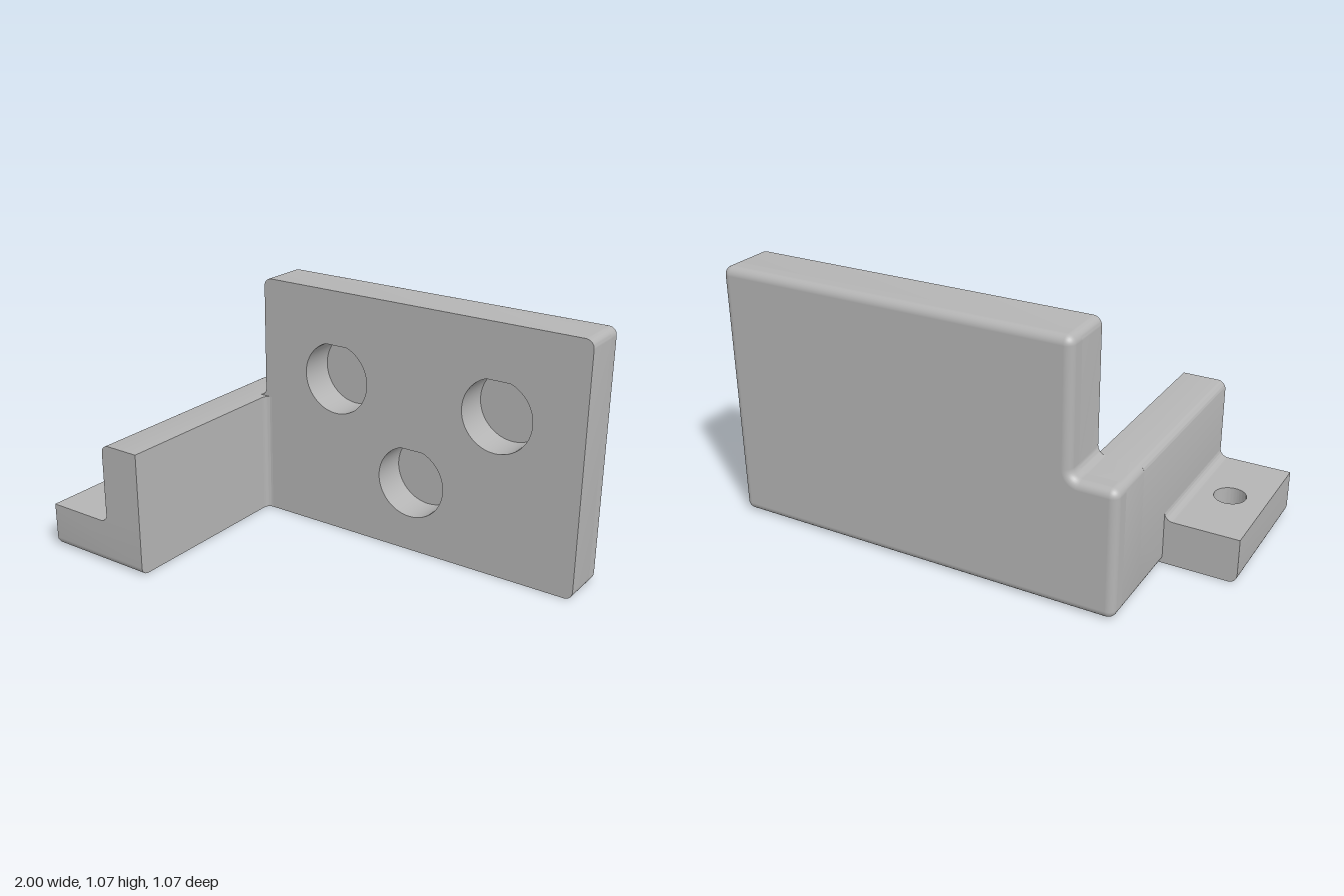
import * as THREE from 'three';
import { toCreasedNormals } from 'three/addons/utils/BufferGeometryUtils.js';

const R = 0.035;                       // edge rounding
const BACK = -0.535, FACE = -0.305, FRONT = 0.53, POCKET = 0.155;
const CORNERS = [[-0.695, 0], [1, 0], [1, 1.07], [-0.51, 1.07], [-0.51, 0.535], [-0.695, 0.535]];
const SEG = 8;

// Stepped plate outline with rounded corners, shrunk inward by d
function outline(d) {
  const n = CORNERS.length, out = [];
  CORNERS.forEach((c, i) => {
    const p = new THREE.Vector2(...c);
    const u = p.clone().sub(new THREE.Vector2(...CORNERS[(i + n - 1) % n])).normalize();
    const v = new THREE.Vector2(...CORNERS[(i + 1) % n]).sub(p).normalize();
    const s = Math.sign(u.cross(v));   // +1 convex, -1 concave
    const centre = new THREE.Vector2(-u.y - v.y, u.x + v.x).multiplyScalar(R * s).add(p);
    const start = Math.atan2(-u.x, u.y);
    for (let k = 0; k <= SEG; k++) {
      const a = start + s * (k / SEG) * Math.PI / 2;
      const m = new THREE.Vector2(Math.cos(a), Math.sin(a));
      out.push({ p: m.clone().multiplyScalar(s * (R - s * d)).add(centre), m });
    }
  });
  return out;
}

const outlineShape = d => new THREE.Shape(outline(d).map(o => o.p));

// Wall of the plate's back half, curling into its rounded rear rim
function rimGeometry() {
  const pos = [], nor = [], idx = [];
  const rings = [[FACE - POCKET, 0]];
  for (let k = 0; k <= SEG; k++) {
    const t = (k / SEG) * Math.PI / 2;
    rings.push([BACK + R - R * Math.sin(t), t]);
  }
  const n = CORNERS.length * (SEG + 1);
  rings.forEach(([z, t], k) => {
    outline(R * (1 - Math.cos(t))).forEach(({ p, m }, i) => {
      pos.push(p.x, p.y, z);
      nor.push(m.x * Math.cos(t), m.y * Math.cos(t), -Math.sin(t));
      if (k === rings.length - 1) return;
      const a = k * n + i, b = k * n + (i + 1) % n;
      idx.push(a, a + n, b, b, a + n, b + n);
    });
  });
  const g = new THREE.BufferGeometry();
  g.setAttribute('position', new THREE.Float32BufferAttribute(pos, 3));
  g.setAttribute('normal', new THREE.Float32BufferAttribute(nor, 3));
  g.setIndex(idx);
  return g;
}

// Round pocket with a slight peak on top
function teardrop(x, y) {
  const r = 0.155, tip = 0.165, a = Math.acos(r / tip);
  const path = new THREE.Path();
  path.moveTo(x, y + tip);
  path.absarc(x, y, r, Math.PI / 2 + a, Math.PI * 2.5 - a, false);
  path.closePath();
  return path;
}

function extrude(shape, depth, steps = 1) {
  return new THREE.ExtrudeGeometry(shape, { depth, steps, bevelEnabled: false, curveSegments: 40 });
}

// Concave corner filler, extruded along z
function filletGeometry(r, length) {
  const s = new THREE.Shape();
  s.moveTo(0, 0);
  s.lineTo(r, 0);
  s.absarc(r, r, r, -Math.PI / 2, -Math.PI, true);
  s.closePath();
  return extrude(s, length);
}

// Foot slab with a bolt hole and rounded outer bottom edges
function footGeometry(height) {
  const s = new THREE.Shape([[-1, -FRONT], [-0.51, -FRONT], [-0.51, -FACE], [-0.695, -FACE],
    [-0.695, 0.08], [-1, 0.08]].map(p => new THREE.Vector2(...p)));
  const hole = new THREE.Path();
  hole.absarc(-0.85, -0.225, 0.065, 0, Math.PI * 2, true);
  s.holes.push(hole);
  const g = extrude(s, height, SEG).rotateX(-Math.PI / 2);
  const p = g.attributes.position;
  for (let i = 0; i < p.count; i++) {
    const k = Math.round(p.getY(i) / height * SEG);
    if (k === SEG) continue;
    const t = (k / (SEG - 1)) * Math.PI / 2, inset = R * (1 - Math.sin(t));
    const x = p.getX(i), z = p.getZ(i);
    p.setY(i, R * (1 - Math.cos(t)));
    if (Math.abs(x + 1) < 1e-4 || Math.abs(x + 0.695) < 1e-4) p.setX(i, x + inset);
    if (Math.abs(z - FRONT) < 1e-4) p.setZ(i, z - inset);
  }
  return g;
}

export function createModel() {
  const group = new THREE.Group();
  group.name = 'mountingBracket';
  const grey = new THREE.MeshStandardMaterial({ color: 0xb4b4b4 });
  grey.name = 'grey';
  const add = (name, geometry, x = 0, y = 0, z = 0) => {
    const mesh = new THREE.Mesh(geometry, grey);
    mesh.name = name;
    mesh.position.set(x, y, z);
    group.add(mesh);
    return mesh;
  };
  const smooth = g => toCreasedNormals(g, 0.6);

  // Upright plate: pocketed front half, rounded back half
  const front = outlineShape(0);
  front.holes = [[-0.135, 0.69], [0.625, 0.69], [0.245, 0.31]].map(c => teardrop(...c));
  add('plateFront', smooth(extrude(front, POCKET)), 0, 0, FACE - POCKET);
  add('pocketFloors', new THREE.ShapeGeometry(outlineShape(0)), 0, 0, FACE - POCKET);
  add('plateRim', rimGeometry());
  const back = new THREE.ShapeGeometry(outlineShape(R).getPoints().length ? outlineShape(R - 1e-4) : front);
  back.scale(1, 1, -1);
  const order = back.index.array;      // turn the face to the rear
  for (let i = 0; i < order.length; i += 3) [order[i], order[i + 1]] = [order[i + 1], order[i]];
  back.computeVertexNormals();
  add('plateBack', back, 0, 0, BACK);

  // Foot and side arm
  const footTop = 0.19;
  add('foot', smooth(footGeometry(footTop)));
  const arm = new THREE.Shape();
  arm.moveTo(-0.695, footTop);
  arm.lineTo(-0.51, footTop);
  arm.lineTo(-0.51, 0.535);
  arm.lineTo(-0.695 + R, 0.535);
  arm.absarc(-0.695 + R, 0.535 - R, R, Math.PI / 2, Math.PI, false);
  arm.closePath();
  add('sideArm', smooth(extrude(arm, FRONT - FACE)), 0, 0, FACE);

  // Inner fillets
  const footFillet = filletGeometry(R, FRONT + 0.08).rotateZ(Math.PI / 2);
  add('footFillet', smooth(footFillet), -0.695, footTop, -0.08);
  const plateFillet = filletGeometry(0.03, 0.535).rotateX(-Math.PI / 2).rotateY(-Math.PI / 2);
  add('plateFillet', smooth(plateFillet), -0.51, 0, FACE);
  return group;
}
